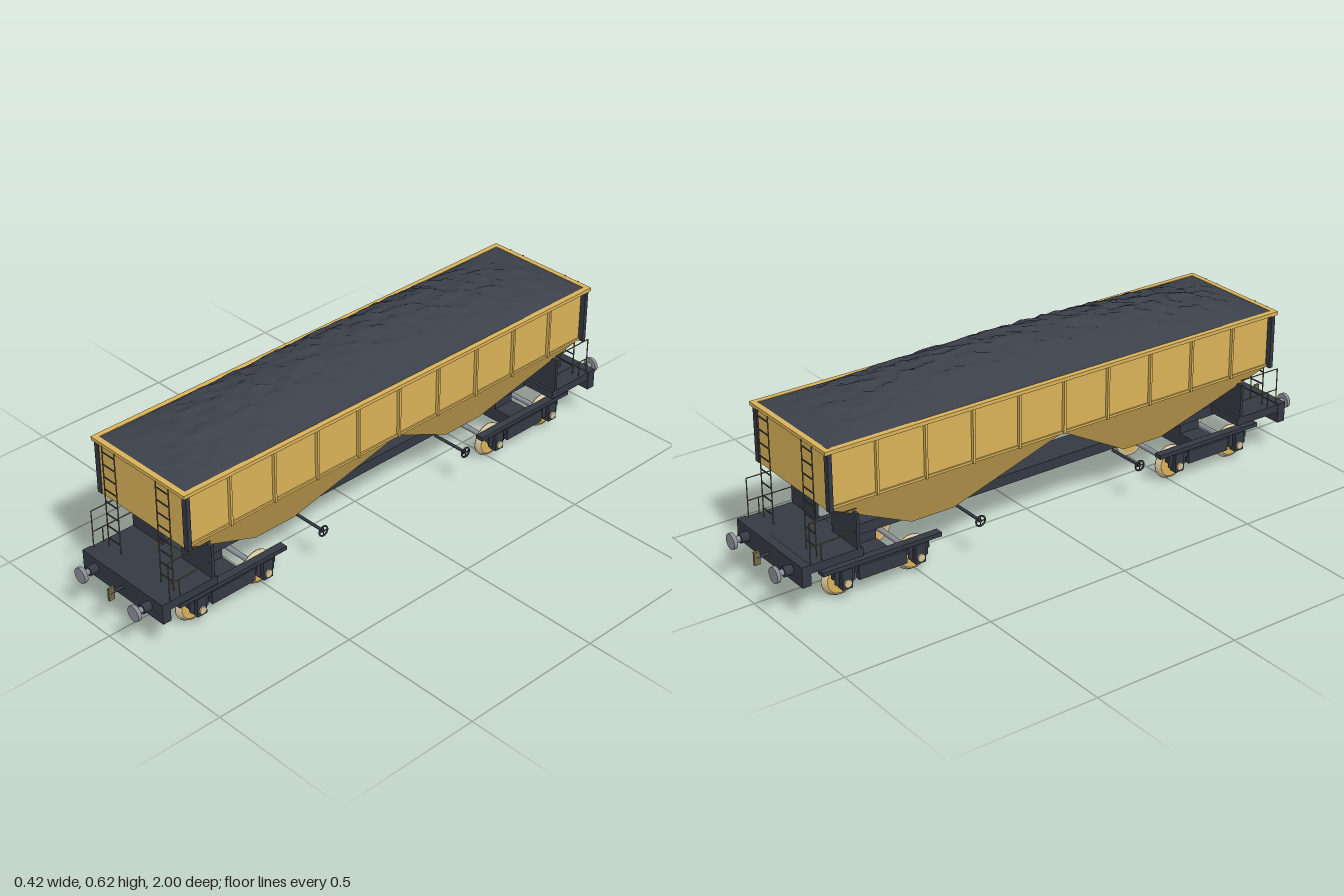
import * as THREE from 'three';

const mat = (name, color, extra = {}) => Object.assign(new THREE.MeshStandardMaterial({ color, ...extra }), { name });

export function createModel() {
  const gold = mat('gold paint', 0xd9b259);
  const dark = mat('dark frame', 0x343943);
  const coal = mat('coal', 0x3b404a, { side: THREE.DoubleSide });
  const steel = mat('steel', 0x8b9097);
  const cream = mat('wheel tread', 0xd6c39a);
  const rail = mat('rail metal', 0x74684a);

  const model = new THREE.Group();
  model.name = 'hopperWagon';

  const add = (parent, name, geometry, material, x = 0, y = 0, z = 0) => {
    const mesh = new THREE.Mesh(geometry, material);
    mesh.name = name;
    mesh.position.set(x, y, z);
    parent.add(mesh);
    return mesh;
  };
  // Box given by its limits
  const box = (parent, name, material, x0, x1, y0, y1, z0, z1) =>
    add(parent, name, new THREE.BoxGeometry(x1 - x0, y1 - y0, z1 - z0), material,
      (x0 + x1) / 2, (y0 + y1) / 2, (z0 + z1) / 2);
  // Round bar between two points
  const rod = (parent, name, material, a, b, r, sides = 8) => {
    const p = new THREE.Vector3(...a), q = new THREE.Vector3(...b);
    const d = q.clone().sub(p);
    const m = add(parent, name, new THREE.CylinderGeometry(r, r, d.length(), sides), material);
    m.position.copy(p).add(q).multiplyScalar(0.5);
    m.quaternion.setFromUnitVectors(new THREE.Vector3(0, 1, 0), d.normalize());
    return m;
  };

  // Tub with its rim and side ribs
  box(model, 'tub', gold, -0.19, 0.19, 0.345, 0.535, -0.85, 0.85);
  for (const s of [-1, 1]) {
    add(model, 'sideRim', new THREE.BoxGeometry(0.018, 0.012, 1.72), gold, s * 0.203, 0.535, 0);
    add(model, 'endRim', new THREE.BoxGeometry(0.42, 0.012, 0.018), gold, 0, 0.535, s * 0.852);
    add(model, 'bottomEdge', new THREE.BoxGeometry(0.006, 0.008, 1.69), gold, s * 0.192, 0.349, 0);
    for (let k = -4; k <= 4; k++)
      add(model, 'rib', new THREE.BoxGeometry(0.012, 0.185, 0.008), gold, s * 0.195, 0.438, k * 0.17);
  }

  // Heaped coal load
  const heap = new THREE.PlaneGeometry(0.39, 1.69, 30, 110);
  heap.rotateX(-Math.PI / 2);
  const hash = (i, j) => {
    const v = Math.sin(i * 127.1 + j * 311.7) * 43758.5453;
    return v - Math.floor(v);
  };
  const noise = (x, z) => {
    const i = Math.floor(x), j = Math.floor(z), u = x - i, v = z - j;
    return THREE.MathUtils.lerp(
      THREE.MathUtils.lerp(hash(i, j), hash(i + 1, j), u),
      THREE.MathUtils.lerp(hash(i, j + 1), hash(i + 1, j + 1), u), v) - 0.5;
  };
  const hp = heap.attributes.position;
  for (let i = 0; i < hp.count; i++) {
    const x = hp.getX(i), z = hp.getZ(i);
    const fx = Math.max(0, 1 - (x / 0.195) ** 2), fz = Math.max(0, 1 - (z / 0.845) ** 2);
    const h = Math.pow(fx, 0.75) * Math.pow(fz, 0.85);
    const rough = noise(x * 38 + 50, z * 32 + 50) * 0.016 + noise(x * 90, z * 75) * 0.006;
    hp.setY(i, 0.539 + 0.077 * h + rough * Math.min(1, h * 2.5));
  }
  heap.computeVertexNormals();
  add(model, 'coalLoad', heap, coal);

  // Centre sill
  box(model, 'centreSill', dark, -0.055, 0.055, 0.145, 0.18, -0.92, 0.92);

  const wheelProfile = [[0.012, -0.009], [0.046, -0.009], [0.058, -0.009], [0.059, -0.004],
    [0.053, -0.002], [0.051, 0.009], [0.04, 0.009]].map(p => new THREE.Vector2(...p));

  // Everything that repeats at both ends
  function buildEnd(name) {
    const end = new THREE.Group();
    end.name = name;

    // Hopper chute tapering to its outlet
    const chute = new THREE.BoxGeometry(0.38, 0.2, 0.85);
    const cp = chute.attributes.position;
    for (let i = 0; i < cp.count; i++) {
      const low = cp.getY(i) < 0;
      const back = cp.getZ(i) < 0;
      cp.setXYZ(i, Math.sign(cp.getX(i)) * (low ? 0.08 : 0.19), low ? 0.145 : 0.346,
        low ? (back ? 0.335 : 0.49) : (back ? 0 : 0.85));
    }
    chute.computeVertexNormals();
    add(end, 'hopperChute', chute, gold);

    // Platform, headstock and coupling
    box(end, 'platform', dark, -0.185, 0.185, 0.155, 0.183, 0.73, 0.925);
    box(end, 'headstock', dark, -0.187, 0.187, 0.117, 0.185, 0.91, 0.94);
    rod(end, 'couplingBar', dark, [0, 0.15, 0.94], [0, 0.15, 0.985], 0.005);
    box(end, 'couplingHook', rail, -0.004, 0.004, 0.126, 0.17, 0.972, 0.992);

    for (const s of [-1, 1]) {
      // Buffers
      rod(end, 'bufferSleeve', dark, [s * 0.125, 0.153, 0.94], [s * 0.125, 0.153, 0.968], 0.016, 12);
      rod(end, 'bufferStem', steel, [s * 0.125, 0.153, 0.965], [s * 0.125, 0.153, 0.99], 0.01, 12);
      rod(end, 'bufferHead', steel, [s * 0.125, 0.153, 0.988], [s * 0.125, 0.153, 1], 0.026, 16);

      // Support panels and corner posts
      add(end, 'endPanel', new THREE.BoxGeometry(0.14, 0.117, 0.01), dark, s * 0.115, 0.24, 0.745);
      add(end, 'cornerPost', new THREE.BoxGeometry(0.02, 0.187, 0.014), dark, s * 0.199, 0.437, 0.845);

      // End ladder
      for (const x of [0.094, 0.151])
        rod(end, 'ladderRail', rail, [s * x, 0.183, 0.868], [s * x, 0.538, 0.868], 0.0022, 6);
      for (let k = 0; k < 8; k++)
        rod(end, 'ladderRung', dark, [s * 0.094, 0.214 + k * 0.0437, 0.868],
          [s * 0.151, 0.214 + k * 0.0437, 0.868], 0.0024, 6);

      // Platform handrail
      for (const z of [0.905, 0.868])
        rod(end, 'handrailPost', rail, [s * 0.178, 0.183, z], [s * 0.178, z > 0.9 ? 0.313 : 0.24, z], 0.002, 6);
      for (const y of [0.313, 0.238])
        rod(end, 'handrailBar', rail, [s * 0.178, y, 0.905], [s * 0.178, y, 0.745], 0.002, 6);

      // Outlet handwheel
      rod(end, 'handwheelShaft', dark, [s * 0.05, 0.137, 0.312], [s * 0.19, 0.137, 0.312], 0.005);
      const hw = add(end, 'handwheel', new THREE.TorusGeometry(0.017, 0.003, 6, 16), dark, s * 0.188, 0.137, 0.312);
      hw.rotation.y = Math.PI / 2;
      rod(end, 'handwheelSpoke', dark, [s * 0.188, 0.12, 0.312], [s * 0.188, 0.154, 0.312], 0.002, 6);
      rod(end, 'handwheelSpoke', dark, [s * 0.188, 0.137, 0.295], [s * 0.188, 0.137, 0.329], 0.002, 6);
    }

    // Bogie
    const bogie = new THREE.Group();
    bogie.name = 'bogie';
    bogie.position.z = 0.64;
    end.add(bogie);
    box(bogie, 'bolster', dark, -0.135, 0.135, 0.066, 0.112, -0.04, 0.04);
    box(bogie, 'pivot', dark, -0.05, 0.05, 0.11, 0.147, -0.04, 0.04);
    for (const s of [-1, 1]) {
      add(bogie, 'topBar', new THREE.BoxGeometry(0.028, 0.014, 0.42), dark, s * 0.138, 0.114, 0);
      add(bogie, 'sideFrame', new THREE.BoxGeometry(0.022, 0.045, 0.17), dark, s * 0.138, 0.077, 0);
      add(bogie, 'frameBeam', new THREE.BoxGeometry(0.014, 0.02, 0.34), dark, s * 0.135, 0.088, 0);
    }
    for (const z of [-0.13, 0.13]) {
      rod(bogie, 'axle', steel, [-0.145, 0.06, z], [0.145, 0.06, z], 0.009, 12);
      for (const s of [-1, 1]) {
        const wheel = new THREE.Group();
        wheel.name = 'wheel';
        wheel.position.set(s * 0.107, 0.059, z);
        wheel.rotation.z = -s * Math.PI / 2;
        bogie.add(wheel);
        const tread = new THREE.LatheGeometry(wheelProfile, 24);
        add(wheel, 'tread', tread, cream);
        add(wheel, 'wheelDisc', new THREE.CylinderGeometry(0.046, 0.046, 0.0184, 24), gold);
        add(wheel, 'hub', new THREE.CylinderGeometry(0.016, 0.016, 0.026, 12), dark);
        add(bogie, 'axleBox', new THREE.BoxGeometry(0.028, 0.065, 0.036), dark, s * 0.142, 0.075, z);
        rod(bogie, 'axleCap', cream, [s * 0.154, 0.062, z], [s * 0.161, 0.062, z], 0.013, 12);
        for (const d of [-0.027, 0.027])
          rod(bogie, 'spring', dark, [s * 0.14, 0.06, z + d], [s * 0.14, 0.108, z + d], 0.008, 8);
      }
    }
    return end;
  }

  const front = buildEnd('frontEnd');
  const back = buildEnd('backEnd');
  back.rotation.y = Math.PI;
  model.add(front, back);
  return model;
}
